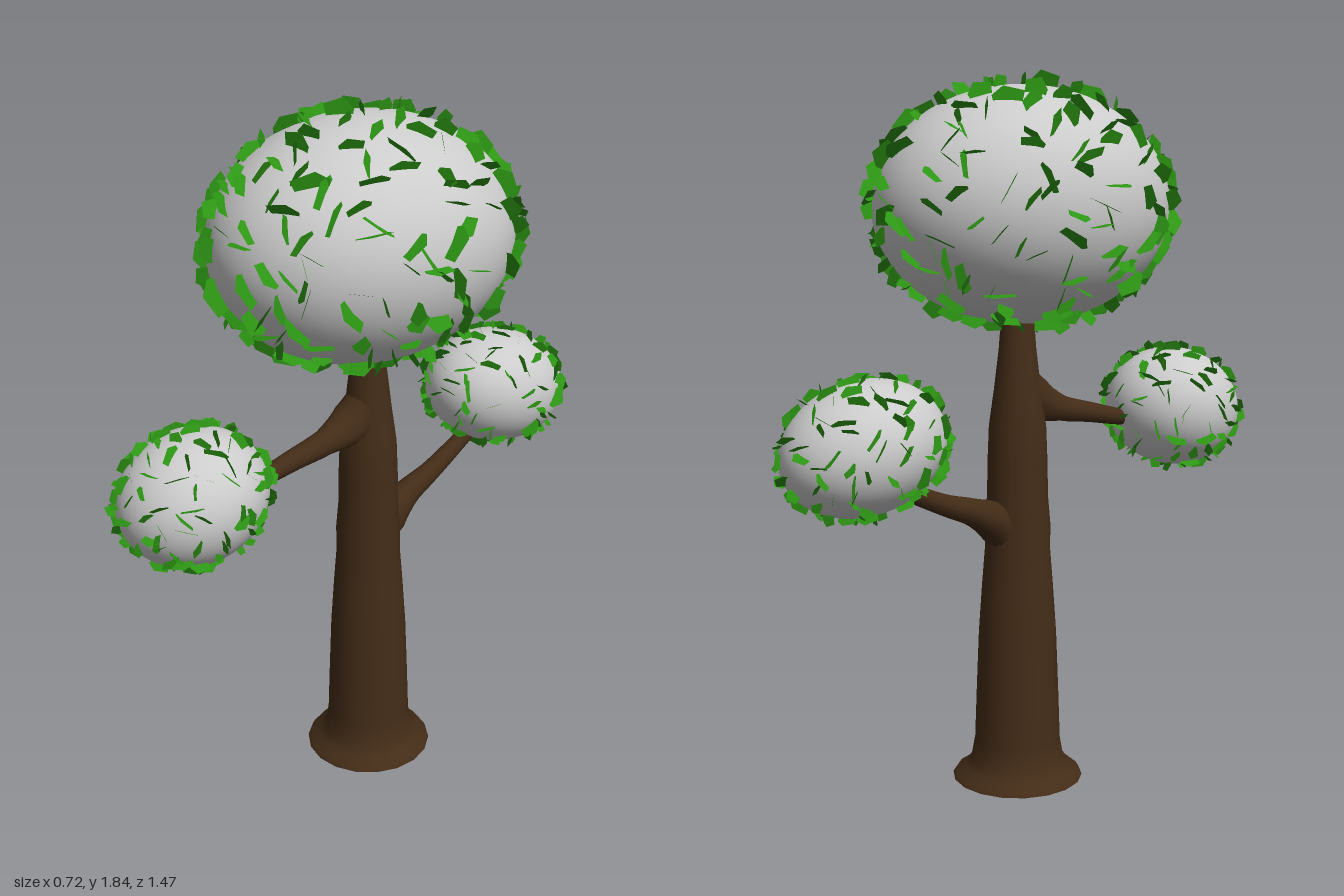
import * as THREE from 'three';
import { mergeGeometries } from 'three/addons/utils/BufferGeometryUtils.js';

const bark = new THREE.MeshStandardMaterial({ color: 0x432c17 });
const grey = new THREE.MeshStandardMaterial({ color: 0xcccccc });
const green = new THREE.MeshStandardMaterial({ color: 0x2d9614, side: THREE.DoubleSide });

// Small seeded generator, values in 0..1
function seeded(seed) {
  let s = seed;
  return () => {
    s = (s * 16807) % 2147483647;
    return s / 2147483647;
  };
}

function add(parent, name, geometry, material) {
  const mesh = new THREE.Mesh(geometry, material);
  mesh.name = name;
  parent.add(mesh);
  return mesh;
}

// Tapering limb through stations [x, y, z, radius]
function limbGeometry(stations) {
  const path = new THREE.CatmullRomCurve3(stations.map(([x, y, z]) => new THREE.Vector3(x, y, z)));
  const steps = 20, sides = 14;
  const geometry = new THREE.TubeGeometry(path, steps, 1, sides);
  const pos = geometry.attributes.position;
  const v = new THREE.Vector3();
  for (let i = 0; i <= steps; i++) {
    const centre = path.getPointAt(i / steps);
    const t = path.getUtoTmapping(i / steps) * (stations.length - 1);
    const k = Math.min(Math.floor(t), stations.length - 2);
    const r = THREE.MathUtils.lerp(stations[k][3], stations[k + 1][3], t - k);
    for (let j = 0; j <= sides; j++) {
      const n = i * (sides + 1) + j;
      v.fromBufferAttribute(pos, n).sub(centre).multiplyScalar(r).add(centre);
      pos.setXYZ(n, v.x, v.y, v.z);
    }
  }
  return geometry;
}

// Flat angular leaves standing on an ellipsoid, each near the surface normal
function leavesGeometry(radii, count, size, seed) {
  const rand = seeded(seed);
  const leaf = new THREE.ShapeGeometry(new THREE.Shape([
    new THREE.Vector2(-0.35, -0.5), new THREE.Vector2(0.4, -0.45), new THREE.Vector2(0.55, 0.15),
    new THREE.Vector2(0.2, 0.5), new THREE.Vector2(-0.5, 0.35),
  ]));
  const parts = [];
  const up = new THREE.Vector3(), side = new THREE.Vector3(), face = new THREE.Vector3();
  for (let i = 0; i < count; i++) {
    const y = 1 - 2 * (i + rand()) / count;
    const a = i * 2.39996 + (rand() - 0.5) * 0.6;
    const ring = Math.sqrt(1 - y * y);
    const point = new THREE.Vector3(ring * Math.cos(a), y, ring * Math.sin(a)).multiply(radii);
    up.copy(point).divide(radii).divide(radii).normalize();
    side.set(rand() - 0.5, rand() - 0.5, rand() - 0.5).cross(up).normalize();
    face.crossVectors(side, up);
    up.addScaledVector(face, (rand() - 0.5) * 1.6).normalize();
    face.crossVectors(side, up);
    const w = size * (0.7 + 0.6 * rand()), h = size * (0.7 + 0.5 * rand());
    const m = new THREE.Matrix4().makeBasis(side, up, face).setPosition(point);
    parts.push(leaf.clone().scale(w, h, 1).applyMatrix4(m));
  }
  return mergeGeometries(parts);
}

// Foliage ball: smooth grey core with scattered leaves
function foliage(name, centre, radii, tilt, count, size, seed) {
  const group = new THREE.Group();
  group.name = name;
  add(group, 'foliageBall', new THREE.SphereGeometry(1, 40, 28).scale(...radii), grey);
  add(group, 'leaves', leavesGeometry(new THREE.Vector3(...radii), count, size, seed), green);
  group.position.set(...centre);
  group.rotation.x = tilt;
  return group;
}

export function createModel() {
  const tree = new THREE.Group();
  tree.name = 'tree';

  // Trunk with flared foot
  const profile = [
    [0.172, 0.157], [0.165, 0.168], [0.14, 0.185], [0.122, 0.21], [0.113, 0.26], [0.108, 0.4], [0.102, 0.55],
    [0.093, 0.68], [0.085, 0.78], [0.086, 0.84], [0.079, 0.92], [0.078, 1.0], [0.074, 1.1], [0.06, 1.2],
    [0.048, 1.3], [0.042, 1.38], [0.036, 1.41], [0, 1.42],
  ].map(([r, y]) => new THREE.Vector2(r, y));
  const trunk = add(tree, 'trunk', new THREE.LatheGeometry(profile, 18), bark);
  trunk.position.set(-0.02, 0, -0.012);
  const base = add(tree, 'trunkBase', new THREE.CircleGeometry(0.172, 18), bark);
  base.rotation.x = Math.PI / 2;
  base.position.set(-0.02, 0.157, -0.012);

  // Side branches, thick at the trunk
  add(tree, 'frontBranch', limbGeometry([
    [-0.02, 1.22, -0.01, 0.05], [-0.02, 1.165, 0.045, 0.056], [-0.02, 1.133, 0.13, 0.034],
    [-0.02, 1.115, 0.22, 0.028], [-0.02, 1.09, 0.34, 0.022], [-0.02, 1.08, 0.44, 0.018],
  ]), bark);
  add(tree, 'backBranch', limbGeometry([
    [-0.02, 0.8, -0.03, 0.05], [-0.025, 0.855, -0.085, 0.055], [-0.035, 0.893, -0.16, 0.036],
    [-0.045, 0.925, -0.25, 0.028], [-0.065, 0.985, -0.39, 0.022], [-0.075, 1.02, -0.47, 0.018],
  ]), bark);

  // Crown and the two side clumps
  tree.add(
    foliage('crown', [0, 1.66, 0.02], [0.33, 0.3, 0.402], 0, 260, 0.068, 11),
    foliage('frontClump', [-0.025, 1.105, 0.52], [0.175, 0.162, 0.192], 0.25, 150, 0.046, 23),
    foliage('backClump', [-0.08, 1.105, -0.508], [0.172, 0.158, 0.21], -0.25, 150, 0.046, 37),
  );
  return tree;
}
